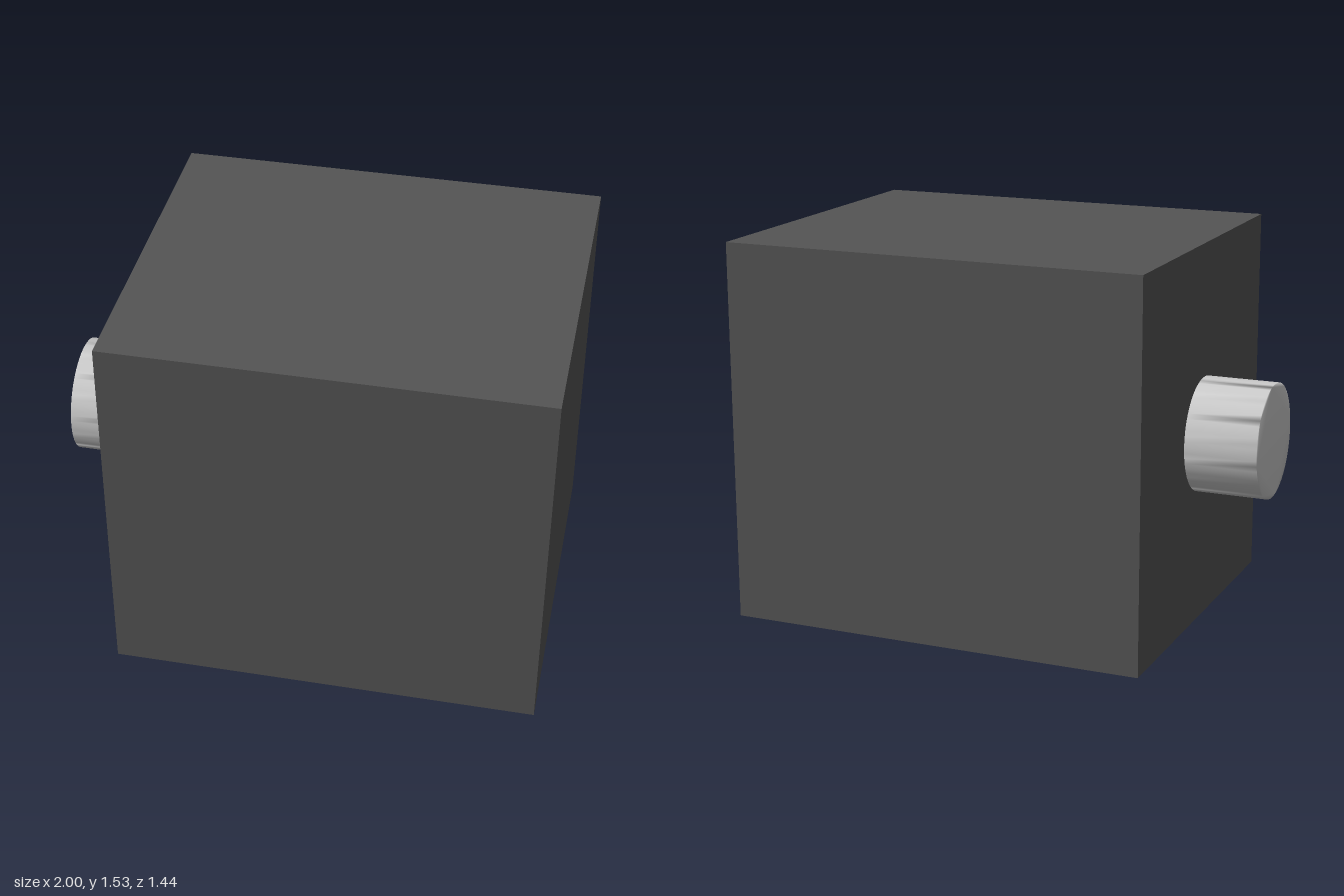
import * as THREE from 'three';
import { mergeVertices } from 'three/addons/utils/BufferGeometryUtils.js';

export function createModel() {
  const group = new THREE.Group();

  // Dark block body
  const body = new THREE.Mesh(
    new THREE.BoxGeometry(1.71, 1.53, 1.44),
    new THREE.MeshStandardMaterial({ color: 0x555555 })
  );
  body.name = 'body';
  body.position.set(0.145, 0.765, 0);
  group.add(body);

  // Round stub on the side, with normals shared between wall and end cap
  const circle = new THREE.Shape();
  circle.absarc(0, 0, 0.23, 0, Math.PI * 2, false);
  let stubGeometry = new THREE.ExtrudeGeometry(circle, {
    depth: 0.29, steps: 1, curveSegments: 32, bevelEnabled: false
  });
  stubGeometry.deleteAttribute('normal');
  stubGeometry.deleteAttribute('uv');
  stubGeometry = mergeVertices(stubGeometry, 1e-4);
  stubGeometry.computeVertexNormals();
  stubGeometry.rotateY(Math.PI / 2);

  const stub = new THREE.Mesh(
    stubGeometry,
    new THREE.MeshStandardMaterial({ color: 0xcccccc })
  );
  stub.name = 'sideStub';
  stub.position.set(-1, 0.765, 0);
  group.add(stub);

  return group;
}
